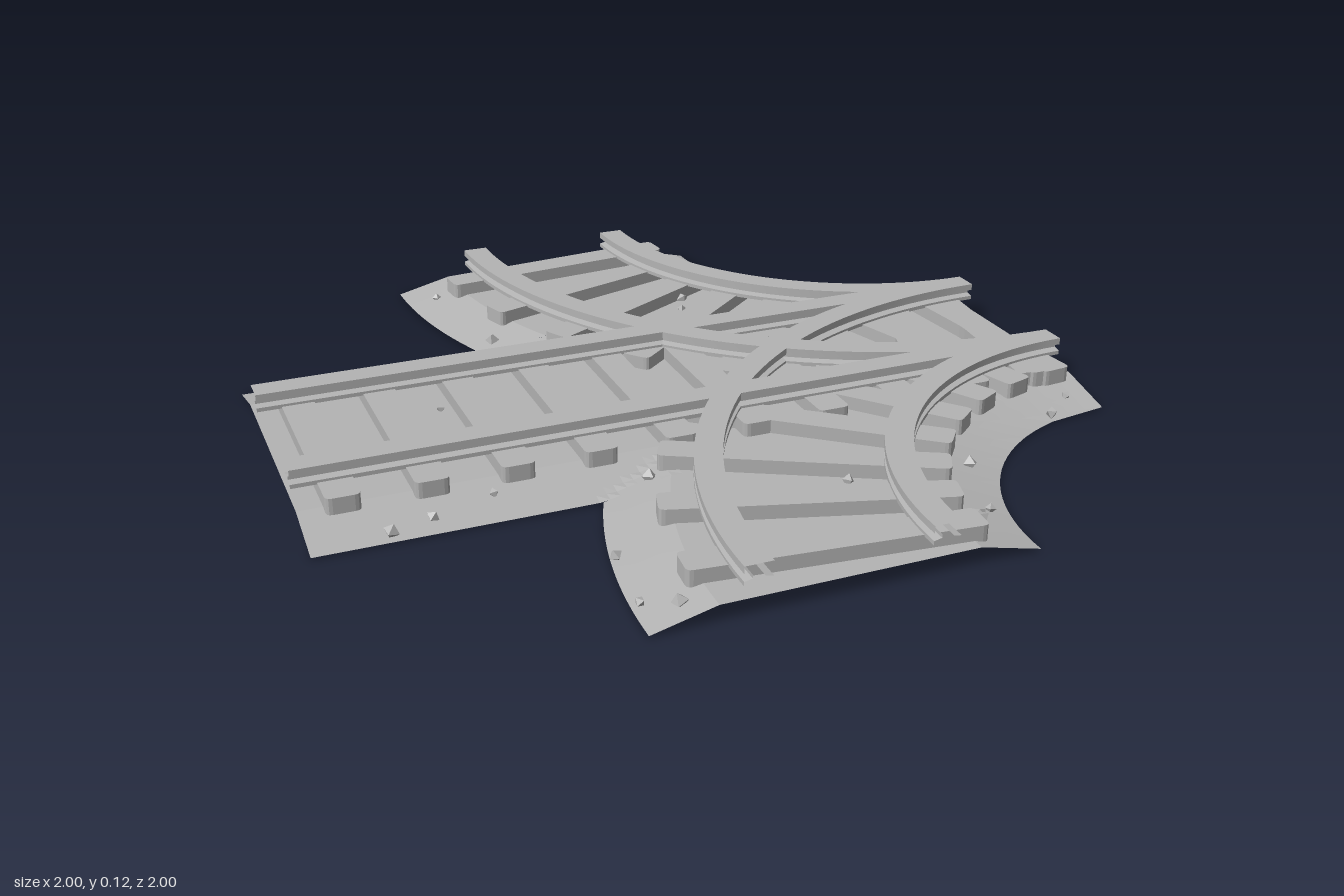
import * as THREE from 'three';
import { mergeGeometries } from 'three/addons/utils/BufferGeometryUtils.js';

const GAUGE = 0.215, BED = 0.45, SHOULDER = 0.3, BED_Y = 0.04, SKIN = 0.004;

// Surface from a rule fn(u, v) -> [x, y, z], facing du x dv unless flipped
function grid(nu, nv, fn, flip = false) {
  const pos = [], idx = [];
  for (let i = 0; i <= nu; i++)
    for (let j = 0; j <= nv; j++) pos.push(...fn(i / nu, j / nv));
  for (let i = 0; i < nu; i++)
    for (let j = 0; j < nv; j++) {
      const a = i * (nv + 1) + j, b = a + nv + 1, c = b + 1, d = a + 1;
      if (flip) idx.push(a, c, b, a, d, c);
      else idx.push(a, b, c, a, c, d);
    }
  const g = new THREE.BufferGeometry();
  g.setAttribute('position', new THREE.Float32BufferAttribute(pos, 3));
  g.setIndex(idx);
  g.computeVertexNormals();
  return g;
}

// Height of the gravel: the highest of the straight bed and the two curved beds
function bedHeight(x, z) {
  const bank = d => THREE.MathUtils.clamp((BED - Math.abs(d)) / (BED - SHOULDER), 0, 1);
  return (BED_Y - SKIN) * Math.max(bank(z),
    bank(Math.hypot(1 - x, 1 - z) - 1), bank(Math.hypot(1 - x, 1 + z) - 1));
}

export function createModel() {
  const model = new THREE.Group();
  const grey = new THREE.MeshStandardMaterial({ color: 0xb4b4b4 });
  grey.name = 'stone grey';
  const add = (name, geometry, parent = model) => {
    const m = new THREE.Mesh(geometry, grey);
    m.name = name;
    parent.add(m);
    return m;
  };

  // Gravel bed: a thin skin with a top and an underside
  const bed = (name, nu, nv, plan, flip) => {
    const layer = (lift, f) => {
      const g = grid(nu, nv, (u, v) => {
        const [x, z] = plan(u, v);
        return [x, bedHeight(x, z) + lift, z];
      }, f).toNonIndexed();
      g.computeVertexNormals();
      return g;
    };
    add(name, mergeGeometries([layer(SKIN, flip), layer(0, !flip)]));
  };
  bed('straightBed', 36, 80, (u, v) => [-1 + 2 * v, -BED + 2 * BED * u], false);
  for (const s of [1, -1])
    bed(s > 0 ? 'frontCurvedBed' : 'backCurvedBed', 22, 18, (u, v) => {
      const z = BED + (1 - BED) * u, r = 1 + BED - 2 * BED * v;
      return [1 - Math.sqrt(Math.max(0, r * r - (1 - z) ** 2)), s * z];
    }, s < 0);

  // Rails: I-shaped section swept along a path, open at the ends
  const half = [[0.033, 0.115], [0.033, 0.098], [0.014, 0.092],
    [0.014, 0.084], [0.033, 0.08], [0.033, 0.07]];
  const section = [...half, ...half.map(([o, y]) => [-o, y]).reverse()];
  const rail = (name, n, path, flip) => add(name, mergeGeometries(section.map((p, i) => {
    const q = section[(i + 1) % section.length];
    return grid(1, n, (u, v) => {
      const [o, y] = u ? q : p, [x, z] = path(v, o);
      return [x, y, z];
    }, flip);
  })));
  for (const s of [1, -1]) {
    const side = s > 0 ? 'front' : 'back';
    rail(side + 'StraightRail', 1, (t, o) => [-1 + 2 * t, s * GAUGE + o], false);
    for (const k of [1, -1])
      rail(side + (k > 0 ? 'OuterCurvedRail' : 'InnerCurvedRail'), 40, (t, o) => {
        const a = t * Math.PI / 2, r = 1 + k * GAUGE + o;
        return [1 - r * Math.cos(a), s * (1 - r * Math.sin(a))];
      }, s > 0);
  }

  // Sleepers: blocks with rounded corners, long side along z
  const w = 0.04, l = 0.335, c = 0.015;
  const plan = new THREE.Shape();
  plan.moveTo(-w + c, -l).lineTo(w - c, -l).quadraticCurveTo(w, -l, w, -l + c)
    .lineTo(w, l - c).quadraticCurveTo(w, l, w - c, l)
    .lineTo(-w + c, l).quadraticCurveTo(-w, l, -w, l - c)
    .lineTo(-w, -l + c).quadraticCurveTo(-w, -l, -w + c, -l);
  const block = new THREE.ExtrudeGeometry(plan, { depth: 0.04, bevelEnabled: false, curveSegments: 3 });
  block.rotateX(-Math.PI / 2);
  const sleepers = new THREE.Group();
  sleepers.name = 'sleepers';
  model.add(sleepers);
  const sleeper = (name, x, z, turn) => {
    const m = add(name, block, sleepers);
    m.position.set(x, 0.034, z);
    m.rotation.y = turn;
  };
  for (let i = 0; i < 10; i++) sleeper('straightSleeper', -0.9 + 0.2 * i, 0, 0);
  for (const s of [1, -1])
    for (let i = 0; i < 8; i++) {
      const a = (i + 0.5) * Math.PI / 16;
      sleeper('curvedSleeper', 1 - Math.cos(a), s * (1 - Math.sin(a)),
        Math.atan2(Math.cos(a), s * Math.sin(a)));
    }

  // Loose stones scattered on the gravel, as x, z pairs
  const spots = [
    -0.37, -0.88, -0.31, -0.52, -0.57, -0.4, -0.58, -0.36, -0.51, -0.36, -0.41, -0.35,
    -0.37, -0.37, -0.31, -0.37, -0.24, -0.36, -0.57, -0.09, -0.13, -0.71, 0.01, -0.53,
    0.24, -0.49, 0.27, -0.56, 0.36, -0.33, 0.41, -0.74, 0.44, -0.7, 0.5, -0.69,
    0.53, -0.63, 0.59, -0.51, 0.8, -0.41, 0.86, -0.37, -0.82, 0.43, -0.72, 0.4,
    -0.57, 0.36, -0.22, 0.42, -0.41, 0.71, -0.43, 0.9, -0.36, 0.94, 0.18, 0.63,
    0.17, 0.67, 0.5, 0.63, 0.39, 0.85, 0.43, 0.83, 0.38, 0.87, 0.84, 0.46, 0.93, 0.39];
  const pebble = new THREE.OctahedronGeometry(0.017);
  const stones = new THREE.Group();
  stones.name = 'stones';
  model.add(stones);
  for (let i = 0; i < spots.length; i += 2) {
    const m = add('stone', pebble, stones), [x, z] = [spots[i], spots[i + 1]];
    m.scale.setScalar(0.75 + 0.2 * (i % 3));
    m.position.set(x, Math.max(bedHeight(x, z) + 0.008, 0.021), z);
    m.rotation.set(i, i * 1.7, i * 0.6);
  }
  return model;
}
